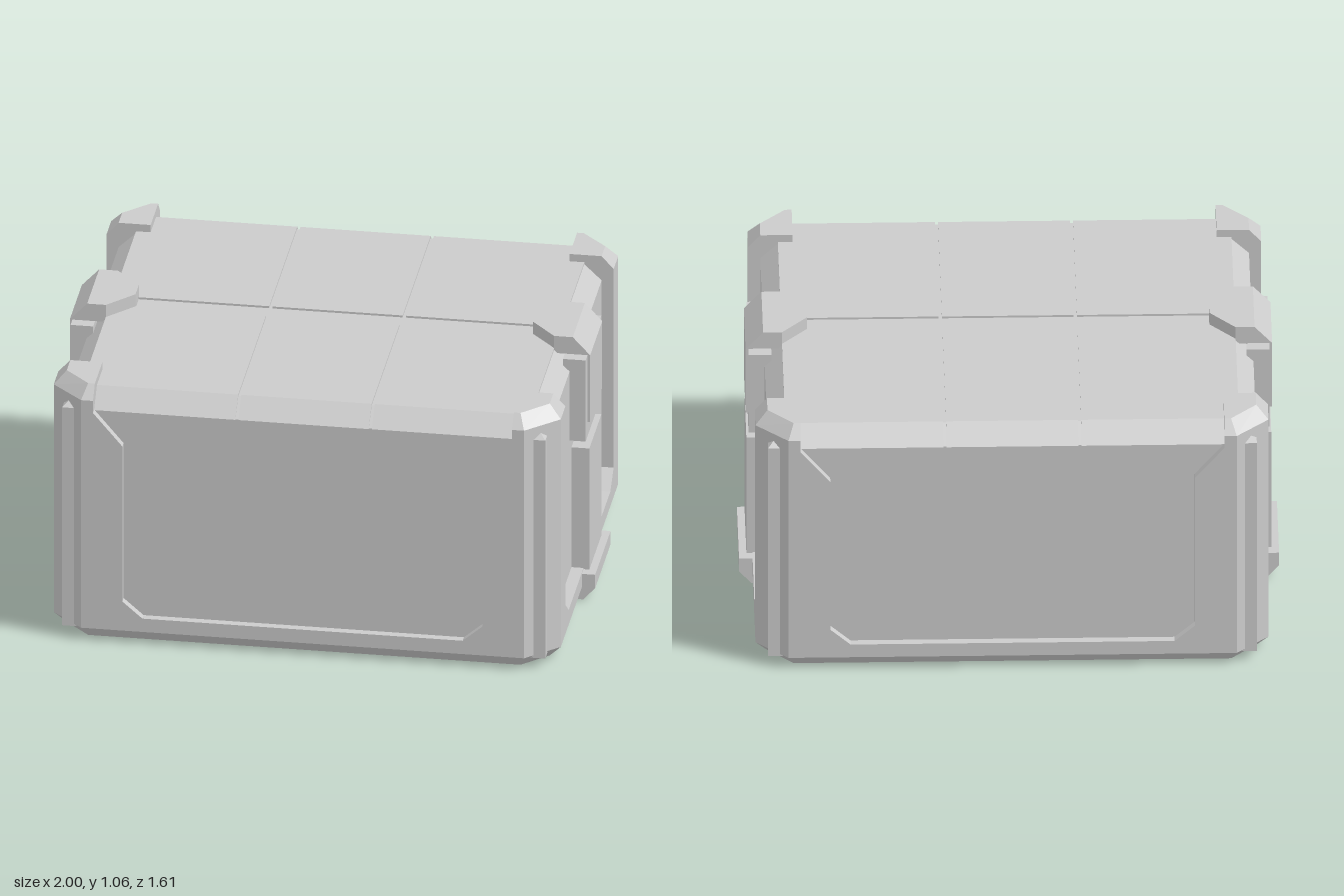
import * as THREE from 'three';

const mat = new THREE.MeshStandardMaterial({ color: 0xcccccc, flatShading: true });

// Closed solid through convex horizontal outlines: levels = [[y, [[x, z], ...]], ...]
function loft(levels) {
  const area = levels[0][1].reduce((s, p, i, a) => {
    const q = a[(i + 1) % a.length];
    return s + p[0] * q[1] - q[0] * p[1];
  }, 0);
  const rings = levels.map(([y, pts]) => {
    const r = pts.map(([x, z]) => [x, y, z]);
    return area > 0 ? r.reverse() : r;
  });
  const n = rings[0].length, pos = [];
  const tri = (a, b, c) => pos.push(...a, ...b, ...c);
  for (let k = 0; k < rings.length - 1; k++) {
    for (let i = 0; i < n; i++) {
      const j = (i + 1) % n, lo = rings[k], hi = rings[k + 1];
      tri(lo[i], lo[j], hi[j]);
      tri(lo[i], hi[j], hi[i]);
    }
  }
  const top = rings[rings.length - 1], bottom = rings[0];
  for (let i = 1; i < n - 1; i++) {
    tri(top[0], top[i], top[i + 1]);
    tri(bottom[0], bottom[i + 1], bottom[i]);
  }
  const g = new THREE.BufferGeometry();
  g.setAttribute('position', new THREE.Float32BufferAttribute(pos, 3));
  g.computeVertexNormals();
  return g;
}

// Flat outline extruded from z0 to z1
function extrude(pts, z0, z1) {
  const shape = new THREE.Shape(pts.map(p => new THREE.Vector2(...p)));
  return new THREE.ExtrudeGeometry(shape, { depth: z1 - z0, bevelEnabled: false }).translate(0, 0, z0);
}

const rect = (x, z) => [[x, z], [-x, z], [-x, -z], [x, -z]];
const octagon = (x, z, cx, cz) => [[x, cz], [cx, z], [-cx, z], [-x, cz], [-x, -cz], [-cx, -z], [cx, -z], [x, -cz]];
// Right half of a symmetric outline, completed by mirroring in x
const mirrored = half => [...half, ...half.map(([x, y]) => [-x, y]).reverse()];

function box(x0, x1, y0, y1, z) {
  return new THREE.BoxGeometry(x1 - x0, y1 - y0, z * 2).translate((x0 + x1) / 2, (y0 + y1) / 2, 0);
}

export function createModel() {
  const model = new THREE.Group();
  const add = (name, geometry, parent = model) => {
    const mesh = new THREE.Mesh(geometry, mat);
    mesh.name = name;
    parent.add(mesh);
    return mesh;
  };

  // Bevelled base and recessed body with sloping lid shoulders
  add('base', loft([[0, octagon(0.905, 0.76, 0.81, 0.665)], [0.05, octagon(0.95, 0.805, 0.83, 0.69)]]));
  add('body', loft([[0.04, rect(0.905, 0.775)], [0.94, rect(0.905, 0.775)], [1.002, rect(0.84, 0.705)]]));

  // Six lid plates, parted by a central channel and two narrow cross grooves
  const plate = [[0.037, 1.0], [0.7, 1.0], [0.76, 0.94], [0.78, 0.94], [0.71, 1.01], [0.037, 1.01]];
  for (const side of [0, Math.PI]) {
    for (const [x0, x1] of [[-0.84, -0.256], [-0.244, 0.244], [0.256, 0.84]]) {
      const g = extrude(plate, -x1, -x0).rotateY(-Math.PI / 2);
      add('lidPlate', g).rotation.y = side;
    }
  }

  // Corner posts rising slightly above the lid
  for (const sx of [1, -1]) {
    for (const sz of [1, -1]) {
      const post = (x, z, cx, cz) =>
        [[0.785, 0.58], [x, 0.58], [x, cz], [cx, z], [0.785, z]].map(p => [p[0] * sx, p[1] * sz]);
      const full = post(0.95, 0.805, 0.83, 0.69);
      add('cornerPost', loft([[0.05, full], [0.99, full], [1.04, post(0.905, 0.76, 0.81, 0.665)]]));
    }
  }

  // Raised frames around the recessed panels
  const longFrame = mirrored([[0.785, 0.05], [0.785, 0.94], [0.675, 0.81], [0.675, 0.17], [0.6, 0.105]]);
  const sideFrame = mirrored([[0.58, 0.05], [0.58, 0.17], [0.5, 0.11]]);
  for (const turn of [0, Math.PI]) {
    add(turn ? 'backFrame' : 'frontFrame', extrude(longFrame, 0.72, 0.805)).rotation.y = turn;
    add('sideFrame', extrude(sideFrame, 0.85, 0.95).rotateY(Math.PI / 2)).rotation.y = turn;
  }

  // Latch, backing plate, rib and foot on both ends
  const latchRing = (x, inner = 0.745) =>
    [[inner, 0.04], [0.84, 0.145], [x, 0.145], [x, -0.145], [0.84, -0.145], [inner, -0.04]];
  for (const turn of [0, Math.PI]) {
    const end = new THREE.Group();
    end.name = turn ? 'rightLatch' : 'leftLatch';
    end.rotation.y = turn;
    add('latchPlate', box(0.88, 0.965, 0.655, 0.99, 0.19), end);
    add('latchFront', box(0.88, 0.975, 0.715, 0.99, 0.145), end);
    add('latchHook', loft([[0.99, latchRing(0.975)], [1.06, latchRing(0.91)]]), end);
    add('rib', box(0.88, 0.972, 0.1, 0.605, 0.145), end);
    add('foot', extrude([[0.88, 0], [0.955, 0], [1, 0.05], [1, 0.105], [0.88, 0.105]], -0.185, 0.185), end);
    model.add(end);
  }

  return model;
}
